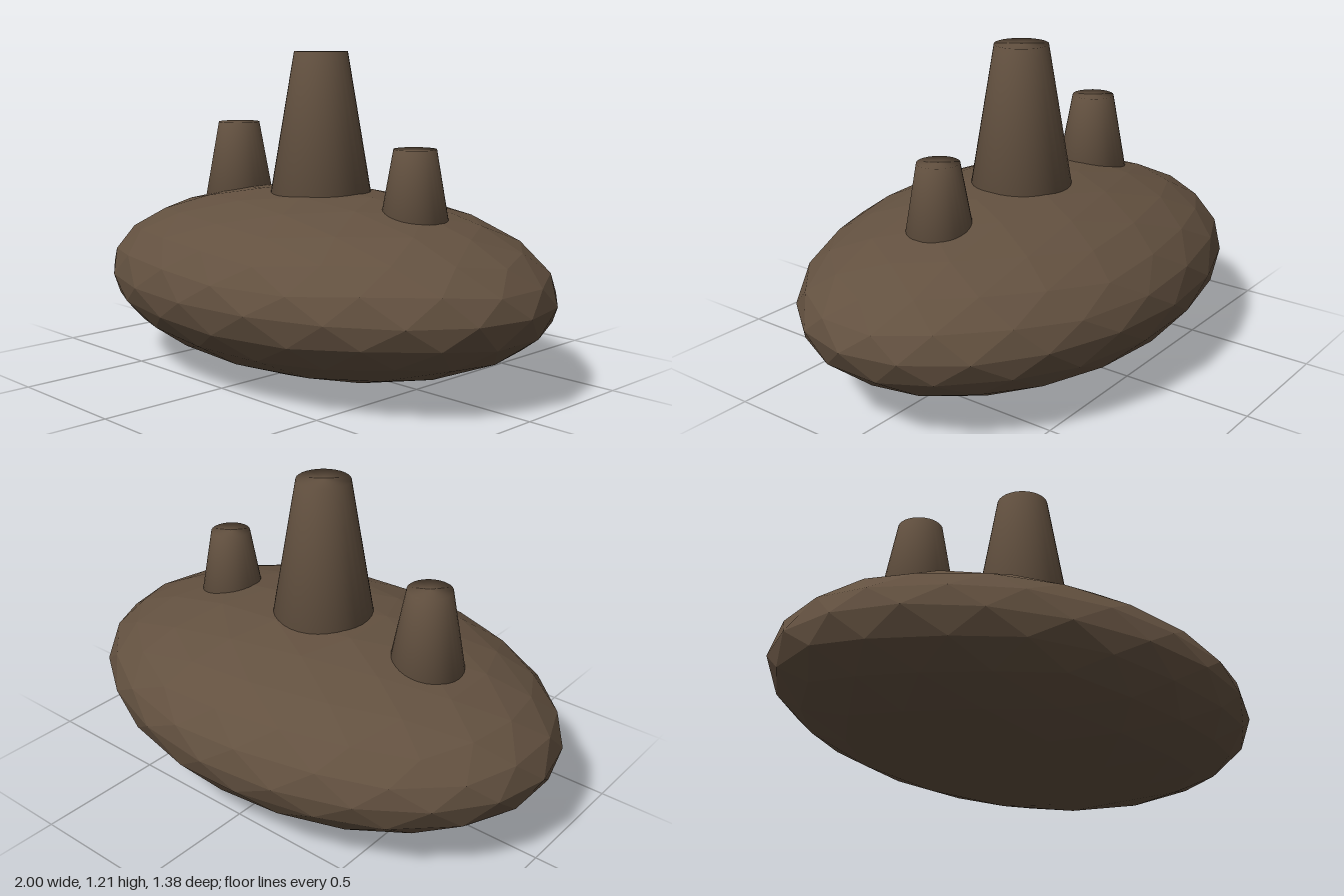
import * as THREE from 'three';

const HALF_HEIGHT = 0.346;

// Unit icosahedron with a vertex at each pole, halved twice on the sphere (320 facets)
function icosphere() {
  const rise = 1 / Math.sqrt(5), ring = 2 / Math.sqrt(5);
  const points = [0, 1, 0];
  for (const [y, turn] of [[rise, 0], [-rise, Math.PI / 5]]) {
    for (let k = 0; k < 5; k++) {
      const a = turn + (k * 2 * Math.PI) / 5;
      points.push(ring * Math.cos(a), y, ring * Math.sin(a));
    }
  }
  points.push(0, -1, 0);

  const faces = [];
  for (let k = 0; k < 5; k++) {
    const n = (k + 1) % 5;
    const u = 1 + k, un = 1 + n, l = 6 + k, ln = 6 + n;
    faces.push(0, un, u, u, un, l, l, un, ln, 11, l, ln);
  }
  const once = new THREE.PolyhedronGeometry(points, faces, 1, 1);
  const corners = Array.from(once.attributes.position.array);
  const order = Array.from({ length: corners.length / 3 }, (_, i) => i);
  return new THREE.PolyhedronGeometry(corners, order, 1, 1);
}

// Tapered stack; normals blend over the rim into the closed top
function taperedStack(baseRadius, topRadius, base, top) {
  return new THREE.LatheGeometry([
    new THREE.Vector2(0, base),
    new THREE.Vector2(baseRadius, base),
    new THREE.Vector2(topRadius, top),
    new THREE.Vector2(0, top),
  ], 32);
}

export function createModel() {
  const model = new THREE.Group();
  model.name = 'moundWithStacks';
  const brown = new THREE.MeshStandardMaterial({ color: 0x635140 });
  brown.name = 'earthBrown';

  // Faceted, flattened body
  const bodyGeometry = icosphere();
  bodyGeometry.scale(1, HALF_HEIGHT, 0.69);
  bodyGeometry.translate(0, HALF_HEIGHT, 0);
  bodyGeometry.computeVertexNormals();
  const body = new THREE.Mesh(bodyGeometry, brown);
  body.name = 'body';
  model.add(body);

  // Stacks: name, x, base radius, top radius, base height, top height
  const stacks = [
    ['centreStack', 0, 0.2, 0.102, 0.63, 1.21],
    ['rightStack', -0.485, 0.147, 0.083, 0.57, 0.92],
    ['leftStack', 0.48, 0.13, 0.077, 0.57, 0.872],
  ];
  for (const [name, x, baseRadius, topRadius, base, top] of stacks) {
    const stack = new THREE.Mesh(taperedStack(baseRadius, topRadius, base, top), brown);
    stack.name = name;
    stack.position.x = x;
    model.add(stack);
  }
  return model;
}
